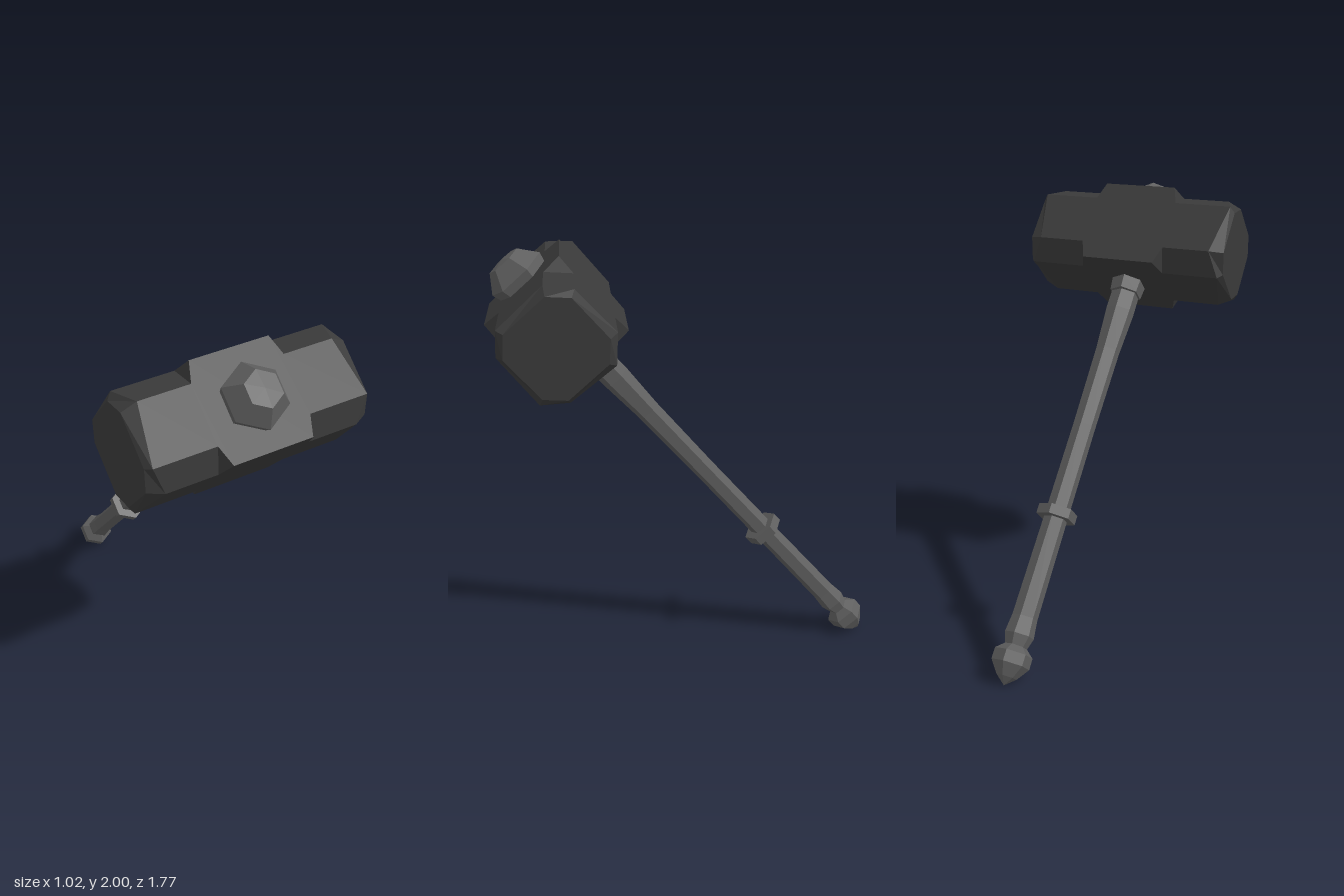
import * as THREE from 'three';

const iron = new THREE.MeshStandardMaterial({ color: 0x3a3a3a, flatShading: true });
iron.name = 'dark iron';
const steel = new THREE.MeshStandardMaterial({ color: 0x5e5e5e, flatShading: true });
steel.name = 'grey steel';

// Eight-cornered section of the head: half = half width, k = half length of each flat side.
// xa and xb are the x positions of the first and second corner of each flat side.
function headRing(xa, xb, half, k) {
  const ring = [];
  for (let i = 0; i < 4; i++) {
    const c = Math.round(Math.cos(i * Math.PI / 2)), s = Math.round(Math.sin(i * Math.PI / 2));
    for (const [x, t] of [[xa, -k], [xb, k]]) {
      ring.push([x, half * c - t * s, half * s + t * c]);
    }
  }
  return ring;
}

// Block with square middle, chamfered arms and bevelled ends, lofted along x
function headGeometry() {
  const H = 0.215, K = 0.127;
  const rings = [
    headRing(-0.5, -0.5, 0.186, 0.112),
    headRing(-0.435, -0.48, H, K),
    headRing(-0.207, -0.207, H, K),
    headRing(-0.178, -0.178, H, H),
    headRing(0.178, 0.178, H, H),
    headRing(0.207, 0.207, H, K),
    headRing(0.435, 0.48, H, K),
    headRing(0.5, 0.5, 0.186, 0.112),
  ];
  const pos = [];
  const tri = (...corners) => corners.forEach(p => pos.push(...p));
  const last = rings[rings.length - 1];
  for (let i = 0; i < 8; i++) {
    const j = (i + 1) % 8;
    for (let r = 0; r < rings.length - 1; r++) {
      const a = rings[r], b = rings[r + 1];
      tri(a[i], a[j], b[j]);
      tri(a[i], b[j], b[i]);
    }
    tri([-0.5, 0, 0], rings[0][j], rings[0][i]);
    tri([0.5, 0, 0], last[i], last[j]);
  }
  const g = new THREE.BufferGeometry();
  g.setAttribute('position', new THREE.Float32BufferAttribute(pos, 3));
  g.computeVertexNormals();
  return g;
}

// Six-sided turned part; profile is [radius, height] from bottom to top
function hexPart(name, profile) {
  const pts = profile.map(([r, y]) => new THREE.Vector2(r, y));
  const mesh = new THREE.Mesh(new THREE.LatheGeometry(pts, 6), steel);
  mesh.name = name;
  return mesh;
}

export function createModel() {
  const hammer = new THREE.Group();
  hammer.name = 'hammer';

  const head = new THREE.Mesh(headGeometry(), iron);
  head.name = 'head';
  hammer.add(head);

  // Faceted stud on top of the head
  hammer.add(hexPart('topStud', [[0.125, 0.2], [0.14, 0.255], [0.08, 0.332], [0, 0.342]]));

  // Slightly tapering shaft with a flare at the bottom
  const shaft = hexPart('shaft', [
    [0, -2.08], [0.045, -2.07], [0.062, -2.01], [0.054, -1.93], [0.051, -1.45],
    [0.05, -1.0], [0.054, -0.6], [0.065, -0.38], [0.064, -0.18], [0, -0.18],
  ]);
  shaft.scale.x = 1.08;
  hammer.add(shaft);

  // Collar beneath the head and ring guard above the grip
  hammer.add(hexPart('headCollar', [[0.06, -0.285], [0.078, -0.28], [0.085, -0.21], [0.07, -0.2]]));
  hammer.add(hexPart('gripRing', [[0.045, -1.468], [0.092, -1.468], [0.092, -1.422], [0.045, -1.422]]));

  // Pommel with pointed end
  hammer.add(hexPart('pommel', [[0, -2.232], [0.045, -2.195], [0.086, -2.14], [0.086, -2.09], [0.045, -2.055]]));

  // Lean the whole hammer forward with a slight roll
  const up = new THREE.Vector3(-0.04, 0.758, 0.651).normalize();
  const side = new THREE.Vector3(1, 0.021, 0.034).addScaledVector(up, -up.dot(new THREE.Vector3(1, 0.021, 0.034))).normalize();
  const front = new THREE.Vector3().crossVectors(side, up);
  hammer.quaternion.setFromRotationMatrix(new THREE.Matrix4().makeBasis(side, up, front));
  hammer.position.set(0, 1.695, 0.577);

  const model = new THREE.Group();
  model.name = 'leaningHammer';
  model.add(hammer);
  return model;
}
